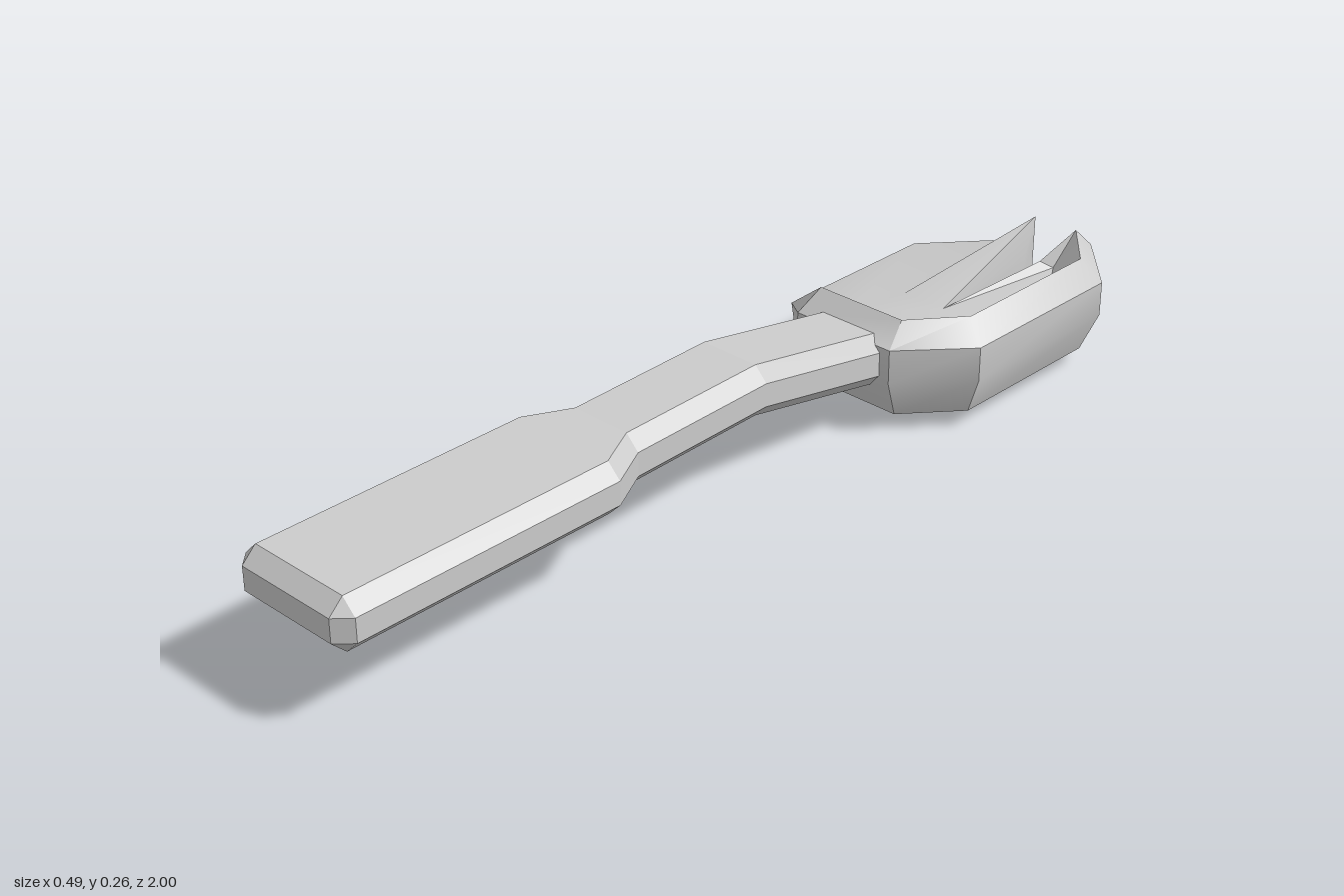
import * as THREE from 'three';
import { toCreasedNormals } from 'three/addons/utils/BufferGeometryUtils.js';

// Skin a stack of equal-length rings and cap both ends.
// Rings run counter-clockwise seen from the last ring's end; flat() maps a point to the cap plane.
function loft(rings, flat) {
  const pos = [];
  const tri = (a, b, c) => {
    const n = b.clone().sub(a).cross(c.clone().sub(a));
    if (n.length() > 1e-9) pos.push(...a.toArray(), ...b.toArray(), ...c.toArray());
  };
  for (let r = 0; r < rings.length - 1; r++) {
    const a = rings[r], b = rings[r + 1];
    a.forEach((p, i) => {
      const j = (i + 1) % a.length;
      tri(p, a[j], b[j]);
      tri(p, b[j], b[i]);
    });
  }
  const cap = (ring, flip) => {
    for (const [i, j, k] of THREE.ShapeUtils.triangulateShape(ring.map(flat), [])) {
      if (flip) tri(ring[i], ring[k], ring[j]);
      else tri(ring[i], ring[j], ring[k]);
    }
  };
  cap(rings[0], true);
  cap(rings[rings.length - 1], false);
  const geo = new THREE.BufferGeometry();
  geo.setAttribute('position', new THREE.Float32BufferAttribute(pos, 3));
  geo.computeVertexNormals();
  return geo;
}

// Chamfered bar running from the bowl to the grip
function handleGeometry() {
  // z, centre height, outer half width, inner half width, outer half height, inner half height
  const sections = [
    [-0.42, 0.139, 0.093, 0.065, 0.055, 0.025],
    [-0.36, 0.15, 0.093, 0.065, 0.055, 0.025],
    [-0.03, 0.212, 0.093, 0.065, 0.053, 0.024],
    [0.30, 0.205, 0.093, 0.065, 0.053, 0.024],
    [0.39, 0.205, 0.14, 0.111, 0.053, 0.024],
    [0.97, 0.205, 0.14, 0.111, 0.053, 0.024],
    [1.00, 0.205, 0.111, 0.111, 0.024, 0.024],
  ];
  const rings = sections.map(([z, y, o, i, t, s]) =>
    [[o, s], [i, t], [-i, t], [-o, s], [-o, -s], [-i, -t], [i, -t], [o, -s]]
      .map(([dx, dy]) => new THREE.Vector3(0.008 + dx, y + dy, z)));
  return loft(rings, (p) => new THREE.Vector2(p.x, p.y));
}

// Bowl with three tines, as columns of points around the outline
function bowlGeometry() {
  const mix = THREE.MathUtils.lerp;
  const heights = [0, 0.035, 0.118, 0.19, 0.235, 0.165];
  const spread = [0, 0.72, 1, 1];

  // Full wall: base, swelling side, rim, then down to the floor
  const wall = (outer, base, inner) => heights.map((y, k) => {
    const [from, f] = k < 4 ? [base, spread[k]] : [inner, k === 4 ? 0.55 : 0];
    return new THREE.Vector3(mix(from[0], outer[0], f), y, mix(from[1], outer[1], f));
  });
  // Thin side: the wall stops at a sharp edge
  const edge = (outer, base) => heights.map((y, k) => {
    const f = [0, 0.2][k] ?? 1;
    return new THREE.Vector3(mix(base[0], outer[0], f), Math.min(y, 0.118), mix(base[1], outer[1], f));
  });
  // Vertical cut between tines
  const cut = (x, z, top) => heights.map((y, k) =>
    new THREE.Vector3(x, k === 5 ? top : Math.min(y, top), z));

  const columns = [
    wall([-0.11, -0.35], [-0.05, -0.47], [-0.07, -0.455]),
    wall([0.125, -0.35], [0.09, -0.47], [0.1, -0.455]),
    wall([0.243, -0.48], [0.125, -0.53], [0.145, -0.53]),
    wall([0.243, -0.87], [0.125, -0.82], [0.145, -0.83]),
    wall([0.12, -1], [0.11, -0.89], [0.1, -0.9]),
    cut(0.08, -0.88, 0.18),
    cut(0.055, -0.6, 0.165),
    cut(0.027, -0.9, 0.165),
    cut(0.004, -0.96, 0.23),
    cut(-0.02, -0.9, 0.165),
    cut(-0.045, -0.6, 0.165),
    cut(-0.07, -0.885, 0.14),
    edge([-0.13, -1], [-0.085, -0.9]),
    edge([-0.243, -0.87], [-0.075, -0.82]),
    edge([-0.243, -0.48], [-0.075, -0.52]),
  ];
  const rings = heights.map((_, k) => columns.map((c) => c[k]));
  return toCreasedNormals(loft(rings, (p) => new THREE.Vector2(p.x, -p.z)), 0.6);
}

export function createModel() {
  const group = new THREE.Group();
  group.name = 'spork';

  const handle = new THREE.Mesh(handleGeometry(),
    new THREE.MeshStandardMaterial({ color: 0xcccccc, flatShading: true }));
  handle.name = 'handle';

  const bowl = new THREE.Mesh(bowlGeometry(),
    new THREE.MeshStandardMaterial({ color: 0xcccccc }));
  bowl.name = 'bowlWithTines';

  group.add(handle, bowl);
  return group;
}
